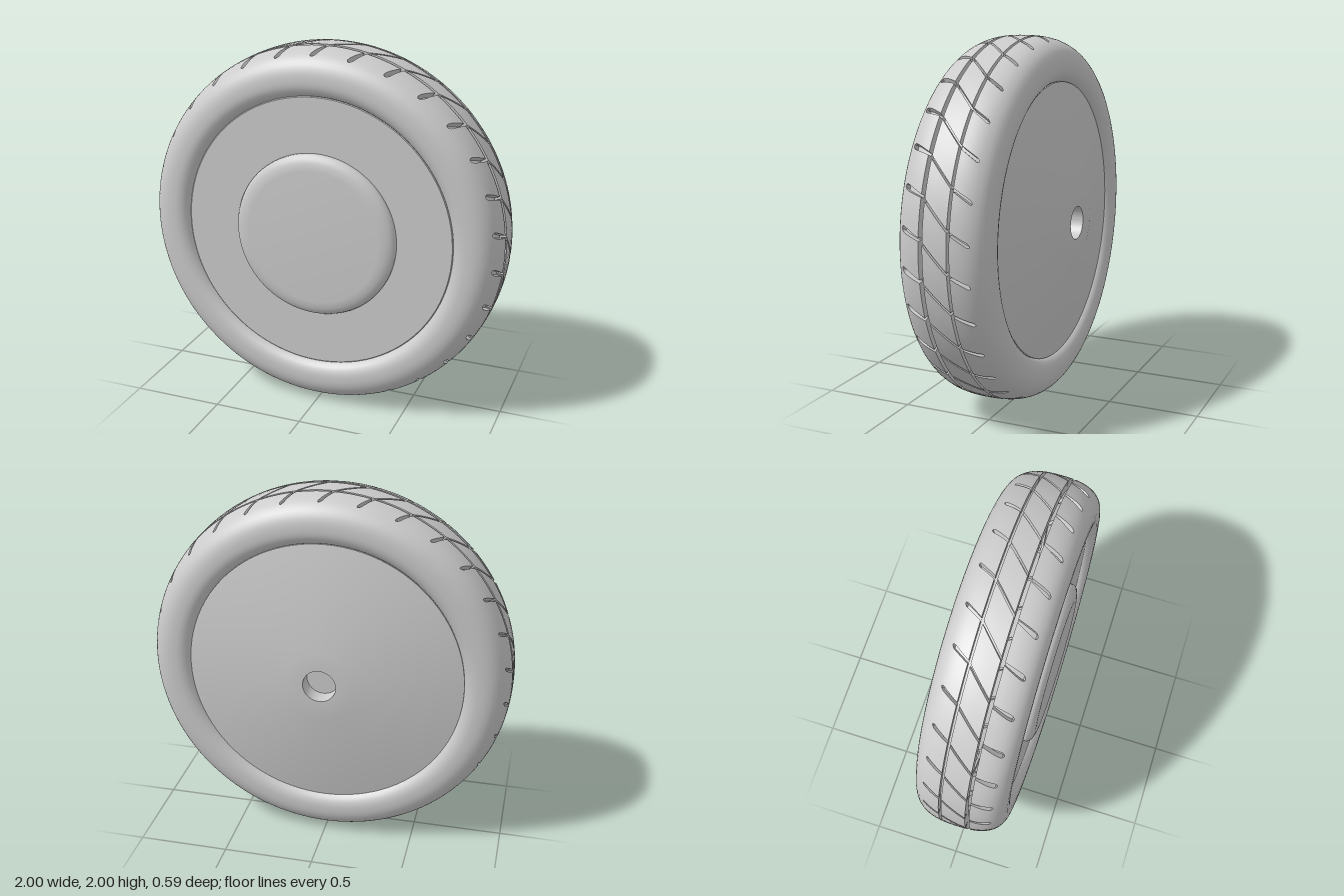
import * as THREE from 'three';
import { toCreasedNormals } from 'three/addons/utils/BufferGeometryUtils.js';

const MID = 0.037; // z of the tyre's centre plane
const BLOCKS = 30; // tread blocks around the tyre
const material = new THREE.MeshStandardMaterial({ color: 0xcccccc, side: THREE.DoubleSide });

// Piecewise linear lookup in [key, value] pairs with falling keys
function lookup(table, key) {
  if (key >= table[0][0]) return table[0][1];
  for (let i = 1; i < table.length; i++) {
    const [k0, v0] = table[i - 1], [k1, v1] = table[i];
    if (key >= k1) return v0 + (v1 - v0) * (k0 - key) / (k0 - k1);
  }
  return table[table.length - 1][1];
}

// Slanted grooves as functions of z: angle, half width and depth
const GROOVE_ANGLE = [[0.225, 0.13], [0.11, 0.08], [-0.04, -0.08], [-0.14, -0.14]];
const GROOVE_WIDTH = [[0.228, 0.006], [0.218, 0.015], [0.2, 0.016], [0.12, 0.008], [-0.04, 0.008], [-0.13, 0.011], [-0.14, 0.005]];
const GROOVE_DEPTH = [[0.228, 0], [0.22, 0.03], [-0.13, 0.03], [-0.14, 0]];

// Rounded, squarish tyre section
function tyreRadius(z) {
  const d = Math.min(1, Math.abs(z - MID) / 0.248);
  return 0.83 + 0.17 * Math.pow(1 - Math.pow(d, 2.6), 1 / 2.6);
}
const treadRows = (zs) => zs.map((z) => [z, tyreRadius(z)]);

// Sidewall from the bead outwards; side = 1 front, -1 back
function sidewallRows(side) {
  const rows = [];
  for (let i = 0; i <= 6; i++) {
    const a = (1 - i / 6) * Math.PI / 2;
    rows.push([MID + side * (0.185 + 0.063 * Math.cos(a)), 0.83 - 0.078 * Math.sin(a)]);
  }
  for (const d of [0.247, 0.244, 0.238, 0.229, 0.217, 0.204]) {
    const z = MID + side * d;
    if (side < 0 || z > 0.228) rows.push([z, tyreRadius(z)]);
  }
  return rows;
}

// Skin across rows of [z, radius], with the slanted grooves pressed in
function tyreShell(rows) {
  const pos = [], index = [], period = Math.PI * 2 / BLOCKS;
  const perBlock = 8, cols = BLOCKS * perBlock;
  for (const [z, r] of rows) {
    const angle = lookup(GROOVE_ANGLE, z), w = lookup(GROOVE_WIDTH, z);
    const floor = Math.min(r, tyreRadius(z) - lookup(GROOVE_DEPTH, z));
    const isTread = r > 0.88;
    for (let b = 0; b < BLOCKS; b++) {
      const land = period - 2 * w;
      const steps = [[-w, r], [-w * 0.85, floor], [w * 0.85, floor], [w, r]];
      for (let k = 1; k <= 4; k++) steps.push([w + land * k / 5, r]);
      for (const [offset, radius] of steps) {
        const t = b * period + angle + offset, q = isTread ? radius : r;
        pos.push(q * Math.cos(t), q * Math.sin(t), z);
      }
    }
  }
  for (let i = 0; i < rows.length - 1; i++) {
    for (let j = 0; j < cols; j++) {
      const a = i * cols + j, b = i * cols + (j + 1) % cols;
      index.push(a, a + cols, b, b, a + cols, b + cols);
    }
  }
  const geo = new THREE.BufferGeometry();
  geo.setAttribute('position', new THREE.Float32BufferAttribute(pos, 3));
  geo.setIndex(index);
  return toCreasedNormals(geo, 0.6);
}

// Turned part with its axis along z; points are [radius, z]
function turned(points) {
  const geo = new THREE.LatheGeometry(points.map(([r, z]) => new THREE.Vector2(r, z)), 96);
  geo.rotateX(Math.PI / 2);
  return toCreasedNormals(geo, 0.45);
}

export function createModel() {
  const wheel = new THREE.Group();
  wheel.name = 'wheel';
  const add = (name, geo) => {
    const mesh = new THREE.Mesh(geo, material);
    mesh.name = name;
    mesh.position.y = 1;
    wheel.add(mesh);
  };

  // Front part of the tyre, ending at the open ring gap
  add('frontTyre', tyreShell([
    ...sidewallRows(1),
    ...treadRows([0.228, 0.223, 0.218, 0.208, 0.195, 0.175, 0.15, 0.119]),
    [0.119, 0.94],
  ]));

  // Rear part of the tyre, with a narrow closed ring groove
  add('rearTyre', tyreShell([
    [0.097, 0.94],
    ...treadRows([0.097, 0.065, 0.03, 0, -0.032]),
    [-0.032, 0.965], [-0.046, 0.965],
    ...treadRows([-0.046, -0.07, -0.095, -0.115, -0.13, -0.14, -0.15]),
    ...sidewallRows(-1).reverse(),
  ]));

  // Flat front disc
  add('frontDisc', turned([[0.757, 0.19], [0.757, 0.234], [0.75, 0.24], [0, 0.24]]));

  // Raised cap with a rounded edge
  add('hubCap', turned([[0.452, 0.238], [0.452, 0.258], [0.446, 0.27], [0.432, 0.281],
    [0.41, 0.289], [0.385, 0.294], [0.37, 0.295], [0, 0.295]]));

  // Conical back cover with a flat boss and axle hole
  add('backCover', turned([[0, -0.2], [0.09, -0.2], [0.09, -0.295], [0.19, -0.295],
    [0.757, -0.177], [0.757, -0.14]]));

  return wheel;
}
